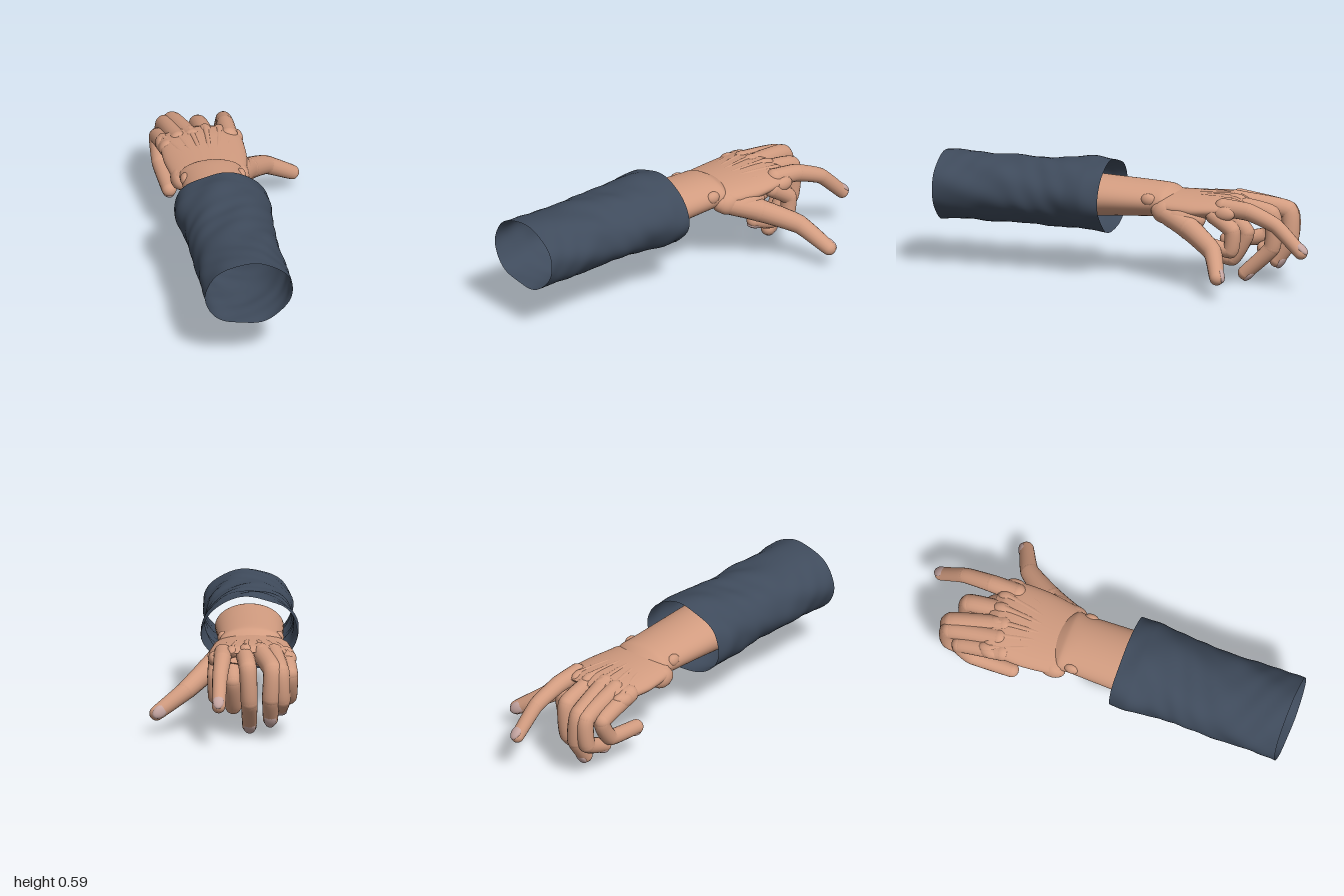
import * as THREE from 'three';
import { mergeVertices } from 'three/addons/utils/BufferGeometryUtils.js';

const mat = (name, color, side = THREE.FrontSide) => {
  const m = new THREE.MeshStandardMaterial({ color, side });
  m.name = name;
  return m;
};
const V = (p) => new THREE.Vector3(...p);

// Elliptical loft along z; each section is [z, centreX, centreY, radiusX, radiusY], from +z to -z.
function loft(sections, rows, wave = () => 0) {
  const mid = new THREE.CatmullRomCurve3(sections.map(([z, x, y]) => new THREE.Vector3(x, y, z)), false, 'catmullrom', 0.3);
  const rad = new THREE.CatmullRomCurve3(sections.map((s) => new THREE.Vector3(s[3], s[4], 0)), false, 'catmullrom', 0.3);
  const g = new THREE.CylinderGeometry(1, 1, 1, 64, rows, true);
  const p = g.attributes.position;
  for (let i = 0; i < p.count; i++) {
    const t = 0.5 - p.getY(i), s = p.getX(i), c = p.getZ(i);
    const m = mid.getPoint(t), r = rad.getPoint(t);
    const w = wave(Math.atan2(s, c), m.z);
    p.setXYZ(i, m.x + (r.x + w) * s, m.y - (r.y + w) * c, m.z);
  }
  g.deleteAttribute('uv');
  g.deleteAttribute('normal');
  const out = mergeVertices(g, 1e-5);
  out.computeVertexNormals();
  return out;
}

// Round tube through points with a radius at each point.
function taperedTube(points, radii, segs = 40) {
  const curve = new THREE.CatmullRomCurve3(points.map(V), false, 'catmullrom', 0.25);
  const sides = 18;
  const g = new THREE.TubeGeometry(curve, segs, 1, sides, false);
  const p = g.attributes.position, v = new THREE.Vector3();
  for (let i = 0; i <= segs; i++) {
    const c = curve.getPointAt(i / segs);
    const f = curve.getUtoTmapping(i / segs) * (radii.length - 1);
    const k = Math.min(Math.floor(f), radii.length - 2);
    const r = THREE.MathUtils.lerp(radii[k], radii[k + 1], f - k);
    for (let j = 0; j <= sides; j++) {
      const n = i * (sides + 1) + j;
      v.fromBufferAttribute(p, n).sub(c).multiplyScalar(r).add(c);
      p.setXYZ(n, v.x, v.y, v.z);
    }
  }
  return g;
}

export function createModel() {
  const model = new THREE.Group();
  const skin = mat('skin', 0xd29c80);
  const nailMat = mat('nail', 0xc6a6a2);
  const cloth = mat('sleeveCloth', 0x3f4b5c, THREE.DoubleSide);

  const add = (name, geometry, material, parent = model) => {
    const m = new THREE.Mesh(geometry, material);
    m.name = name;
    parent.add(m);
    return m;
  };
  const ball = (name, pos, size, parent = model) => {
    const m = add(name, new THREE.SphereGeometry(1, 24, 16), skin, parent);
    m.position.set(...pos);
    m.scale.set(...size);
    return m;
  };

  // Sleeve: open tube with soft dents and a flared cuff
  const dents = (a, z) =>
    0.004 * Math.sin(3 * a + 1) * Math.sin(19 * z + 2 * Math.sin(a)) +
    0.003 * Math.sin(5 * a + 4 * Math.sin(7 * z)) * Math.cos(29 * z) +
    0.002 * Math.sin(7 * a - 13 * z);
  add('sleeve', loft([
    [1, -0.135, 0.397, 0.228, 0.174],
    [0.8, -0.135, 0.395, 0.226, 0.171],
    [0.6, -0.135, 0.393, 0.224, 0.169],
    [0.42, -0.135, 0.396, 0.226, 0.172],
    [0.3, -0.135, 0.396, 0.233, 0.178],
    [0.2, -0.135, 0.396, 0.247, 0.186],
    [0.105, -0.135, 0.394, 0.243, 0.186],
  ], 80, dents), cloth);

  // Forearm with a rounded hidden end
  add('forearm', loft([
    [0.45, -0.135, 0.39, 0.001, 0.001],
    [0.443, -0.135, 0.39, 0.07, 0.046],
    [0.425, -0.135, 0.39, 0.122, 0.08],
    [0.39, -0.135, 0.39, 0.16, 0.104],
    [0.33, -0.135, 0.39, 0.175, 0.115],
    [0.1, -0.136, 0.393, 0.168, 0.1],
    [-0.14, -0.137, 0.393, 0.16, 0.087],
    [-0.21, -0.137, 0.392, 0.163, 0.078],
    [-0.28, -0.137, 0.39, 0.1, 0.04],
  ], 48), skin);

  // Palm and back of the hand
  add('palm', loft([
    [-0.16, -0.14, 0.385, 0.06, 0.03],
    [-0.19, -0.14, 0.383, 0.175, 0.058],
    [-0.24, -0.14, 0.38, 0.195, 0.064],
    [-0.38, -0.137, 0.378, 0.213, 0.068],
    [-0.5, -0.137, 0.386, 0.212, 0.062],
    [-0.58, -0.137, 0.39, 0.2, 0.052],
    [-0.63, -0.137, 0.388, 0.15, 0.03],
  ], 40), skin);

  // Wrist bones and the pads at the heel of the hand
  ball('wristBoneRight', [-0.28, 0.412, -0.135], [0.025, 0.032, 0.04]);
  ball('wristBoneLeft', [0.006, 0.412, -0.135], [0.026, 0.032, 0.04]);
  ball('heelPadRight', [-0.295, 0.36, -0.235], [0.045, 0.055, 0.07]);
  ball('heelPadLeft', [0.015, 0.355, -0.23], [0.05, 0.058, 0.07]);
  ball('thumbPad', [0.03, 0.33, -0.33], [0.065, 0.062, 0.12]);

  // Fingers: four joints each, from knuckle to tip
  const fingers = [
    ['thumb', [[0, 0.36, -0.2], [0.08, 0.293, -0.38], [0.2, 0.207, -0.545], [0.348, 0.104, -0.62]], [0.05, 0.059, 0.048, 0.037]],
    ['indexFinger', [[0.01, 0.4, -0.54], [0.015, 0.385, -0.68], [0.028, 0.325, -0.83], [0.036, 0.197, -0.965]], [0.047, 0.045, 0.039, 0.034]],
    ['sideFinger', [[0.04, 0.36, -0.5], [0.048, 0.29, -0.6], [0.046, 0.187, -0.59], [0.036, 0.205, -0.49]], [0.043, 0.042, 0.04, 0.036]],
    ['innerFinger', [[-0.035, 0.37, -0.53], [-0.04, 0.27, -0.645], [-0.043, 0.132, -0.57], [-0.053, 0.16, -0.455]], [0.045, 0.043, 0.041, 0.036]],
    ['middleFinger', [[-0.1, 0.4, -0.54], [-0.115, 0.355, -0.755], [-0.122, 0.18, -0.755], [-0.125, 0.04, -0.61]], [0.047, 0.046, 0.043, 0.037]],
    ['ringFinger', [[-0.18, 0.405, -0.54], [-0.24, 0.355, -0.8], [-0.232, 0.21, -0.815], [-0.23, 0.095, -0.745]], [0.05, 0.05, 0.046, 0.038]],
    ['outerFinger', [[-0.25, 0.4, -0.54], [-0.28, 0.345, -0.795], [-0.287, 0.2, -0.795], [-0.282, 0.14, -0.66]], [0.048, 0.047, 0.044, 0.038]],
    ['littleFinger', [[-0.31, 0.38, -0.5], [-0.328, 0.32, -0.725], [-0.325, 0.2, -0.66], [-0.312, 0.168, -0.45]], [0.047, 0.043, 0.042, 0.038]],
  ];
  for (const [name, pts, radii] of fingers) {
    const finger = new THREE.Group();
    finger.name = name;
    model.add(finger);
    add(name + 'Shaft', taperedTube(pts, radii), skin, finger);
    pts.forEach((p, i) => ball(name + (i === 3 ? 'Tip' : 'Joint'), p, Array(3).fill(radii[i]), finger));

    // Nail on the outer side of the last joint
    const [, b, c, d] = pts.map(V);
    const along = d.clone().sub(c).normalize();
    const out = c.clone().sub(b).normalize();
    out.addScaledVector(along, -out.dot(along)).normalize();
    const side = new THREE.Vector3().crossVectors(out, along);
    const r = radii[3];
    const nail = add(name + 'Nail', new THREE.SphereGeometry(1, 20, 12), nailMat, finger);
    nail.quaternion.setFromRotationMatrix(new THREE.Matrix4().makeBasis(side, out, along));
    nail.scale.set(r * 0.84, r * 0.5, r * 1.25);
    nail.position.copy(d).addScaledVector(out, r * 0.64).addScaledVector(along, -r * 0.35);
  }

  // Knuckles and the tendons that fan out to them over the back of the hand
  for (const x of [-0.32, -0.255, -0.185, -0.105, -0.035, 0.035]) {
    const u = (x + 0.14) / 0.2;
    const y = 0.438 - 0.045 * u * u;
    ball('knuckle', [x, y - 0.014, -0.57], [0.033, 0.029, 0.055]);
    add('tendon', taperedTube(
      [[-0.14 + u * 0.09, 0.432 - 0.006 * u * u, -0.28], [-0.14 + u * 0.145, 0.436 - 0.021 * u * u, -0.42], [x, y, -0.57]],
      [0.008, 0.015, 0.018], 20), skin);
  }
  ball('outerKnuckleRight', [-0.335, 0.375, -0.56], [0.03, 0.037, 0.055]);
  ball('outerKnuckleLeft', [0.055, 0.375, -0.56], [0.03, 0.037, 0.055]);

  return model;
}
